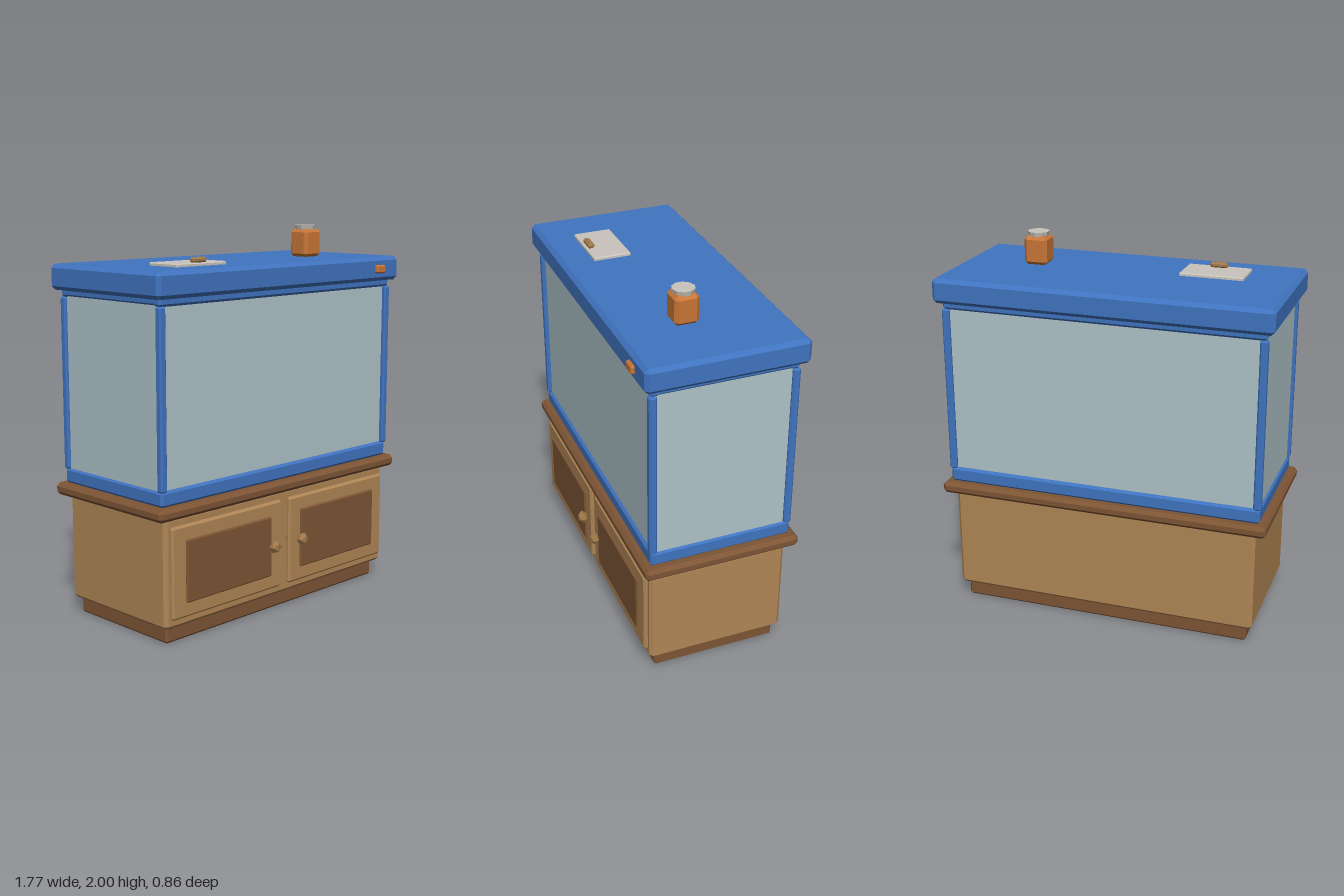
import * as THREE from 'three';
import { ConvexGeometry } from 'three/addons/geometries/ConvexGeometry.js';

const mat = (name, color) => {
  const m = new THREE.MeshStandardMaterial({ color });
  m.name = name;
  return m;
};

// Box with chamfered edges, given by its ranges on each axis
function bevelBox([x0, x1], [y0, y1], [z0, z1], c) {
  const h = [(x1 - x0) / 2, (y1 - y0) / 2, (z1 - z0) / 2];
  const points = [];
  for (const sx of [-1, 1]) for (const sy of [-1, 1]) for (const sz of [-1, 1]) {
    for (let axis = 0; axis < 3; axis++) {
      const inset = h.map((v, i) => (i === axis ? v : v - c));
      points.push(new THREE.Vector3(sx * inset[0], sy * inset[1], sz * inset[2]));
    }
  }
  return new ConvexGeometry(points).translate((x0 + x1) / 2, (y0 + y1) / 2, (z0 + z1) / 2);
}

export function createModel() {
  const blue = mat('blue frame', 0x4074c0);
  const glass = mat('pale glass', 0xafc3c8);
  const oak = mat('oak', 0xb08655);
  const walnut = mat('walnut', 0x7e5535);
  const brass = mat('aged brass', 0xa0784a);
  const orange = mat('orange', 0xc87637);
  const grey = mat('light grey', 0xc9c5bd);

  const model = new THREE.Group();
  model.name = 'aquariumOnCabinet';
  const add = (name, geometry, material) => {
    const mesh = new THREE.Mesh(geometry, material);
    mesh.name = name;
    model.add(mesh);
    return mesh;
  };
  const box = (name, x, y, z, c, material) => add(name, bevelBox(x, y, z, c), material);

  // Cabinet
  box('plinth', [-0.79, 0.79], [0, 0.09], [-0.35, 0.32], 0.012, walnut);
  box('cabinetBody', [-0.825, 0.825], [0.085, 0.65], [-0.38, 0.357], 0.018, oak);
  box('counter', [-0.885, 0.885], [0.643, 0.706], [-0.428, 0.398], 0.018, walnut);

  // Doors with inset panels and knobs, mirrored
  for (const s of [-1, 1]) {
    const side = s > 0 ? 'left' : 'right';
    const span = (a, b) => (s > 0 ? [a, b] : [-b, -a]);
    box(side + 'Door', span(0.03, 0.797), [0.135, 0.603], [0.35, 0.379], 0.01, oak);
    box(side + 'DoorPanel', span(0.112, 0.71), [0.21, 0.53], [0.365, 0.389], 0.006, walnut);
    const knob = add(side + 'Knob', new THREE.IcosahedronGeometry(0.036, 0), brass);
    knob.scale.z = 0.8;
    knob.position.set(s * 0.105, 0.37, 0.405);
  }

  // Tank
  box('bottomRim', [-0.845, 0.845], [0.706, 0.785], [-0.39, 0.36], 0.012, blue);
  add('glassTank', new THREE.BoxGeometry(1.67, 0.9, 0.72).translate(0, 1.225, -0.015), glass);
  for (const x of [-0.83, 0.83]) {
    for (const z of [-0.373, 0.347]) {
      box('cornerPost', [x - 0.02, x + 0.02], [0.78, 1.665], [z - 0.02, z + 0.02], 0.008, blue);
    }
    box('sideTopRail', [x - 0.015, x + 0.015], [1.67, 1.71], [-0.37, 0.34], 0.008, blue);
  }
  for (const z of [-0.363, 0.335]) {
    box('longTopRail', [-0.845, 0.845], [1.663, 1.71], [z - 0.026, z + 0.026], 0.012, blue);
  }

  // Hood with switch and feeding hatch
  box('hood', [-0.885, 0.885], [1.70, 1.83], [-0.428, 0.398], 0.02, blue);
  box('hoodSwitch', [0.677, 0.75], [1.743, 1.787], [0.385, 0.417], 0.007, orange);
  box('feedingHatch', [-0.622, -0.286], [1.825, 1.846], [0.03, 0.232], 0.005, grey);
  box('hatchHandle', [-0.5, -0.407], [1.843, 1.872], [0.187, 0.222], 0.009, brass);

  // Food jar
  box('foodJar', [0.425, 0.551], [1.828, 1.98], [-0.005, 0.121], 0.018, orange);
  const cap = new THREE.CylinderGeometry(0.058, 0.052, 0.025, 10).toNonIndexed();
  cap.computeVertexNormals();
  add('jarCap', cap.translate(0.488, 1.9875, 0.058), grey);

  return model;
}
